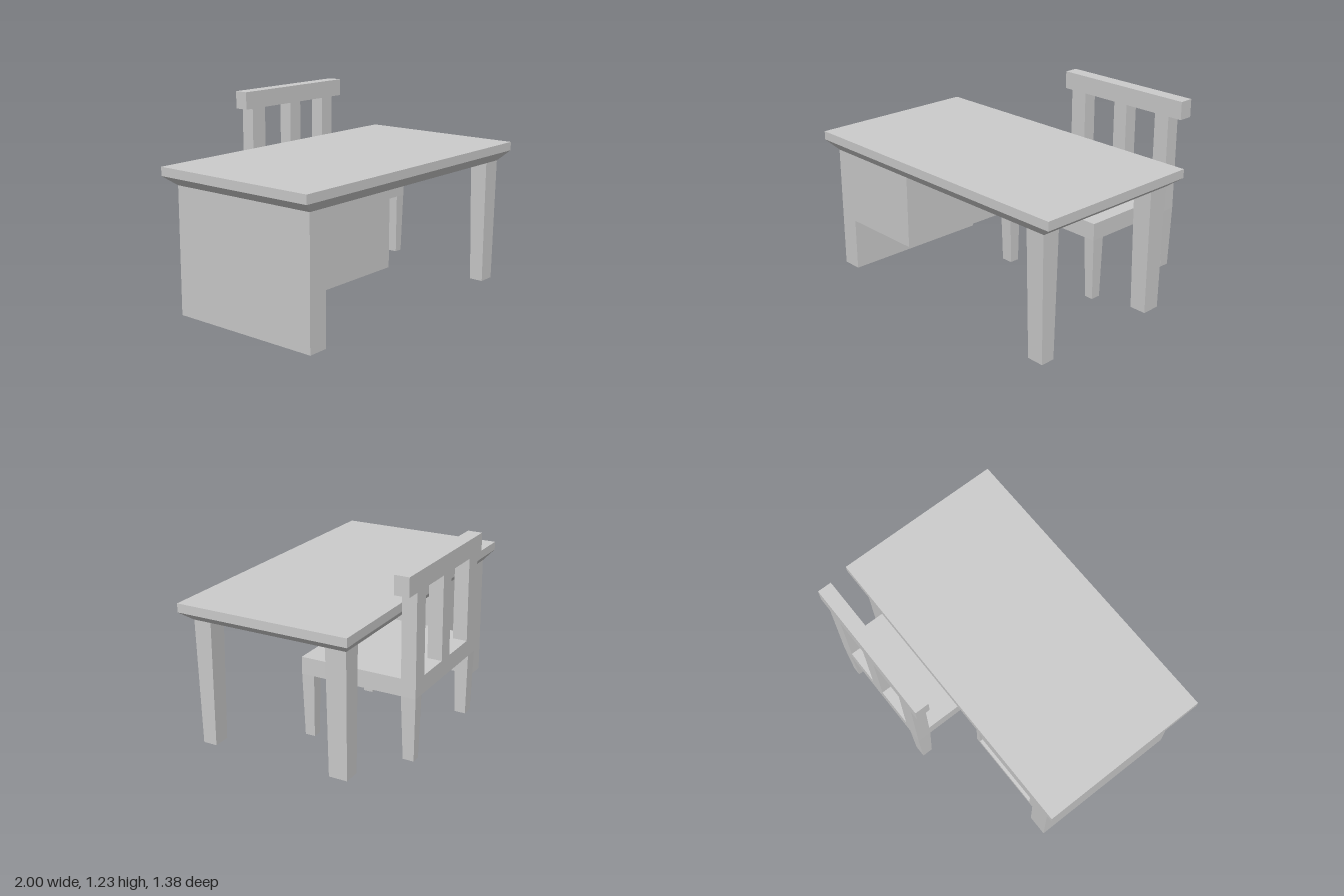
import * as THREE from 'three';

const material = new THREE.MeshStandardMaterial({ color: 0xcccccc, flatShading: true });

// Six-sided block between two heights; each rectangle is [x0, x1, z0, z1].
function block(name, y0, y1, top, bottom = top) {
  const geometry = new THREE.BoxGeometry(1, 1, 1);
  const p = geometry.attributes.position;
  for (let i = 0; i < p.count; i++) {
    const r = p.getY(i) > 0 ? top : bottom;
    p.setXYZ(i, p.getX(i) > 0 ? r[1] : r[0], p.getY(i) > 0 ? y1 : y0, p.getZ(i) > 0 ? r[3] : r[2]);
  }
  geometry.computeVertexNormals();
  const mesh = new THREE.Mesh(geometry, material);
  mesh.name = name;
  return mesh;
}

function createDesk() {
  const desk = new THREE.Group();
  desk.name = 'desk';

  // Slab with a chamfered underside
  const slab = [-1, 1, -0.42, 0.69];
  desk.add(block('deskTop', 0.85, 0.905, slab));
  desk.add(block('deskTopChamfer', 0.79, 0.85, slab, [-0.92, 0.92, -0.37, 0.64]));

  // Solid side panel and the two tapered legs opposite
  desk.add(block('sidePanel', 0, 0.79, [-0.92, -0.79, -0.37, 0.64]));
  desk.add(block('frontDeskLeg', 0, 0.79, [0.79, 0.917, 0.525, 0.64], [0.798, 0.907, 0.54, 0.63]));
  desk.add(block('backDeskLeg', 0, 0.79, [0.79, 0.917, -0.367, -0.235], [0.798, 0.907, -0.36, -0.242]));

  // Hanging cabinet with a drawer front set back inside a frame
  desk.add(block('cabinet', 0.335, 0.79, [-0.79, -0.233, -0.35, 0.64]));
  const frame = new THREE.Shape();
  frame.moveTo(-0.79, 0.335).lineTo(-0.233, 0.335).lineTo(-0.233, 0.79).lineTo(-0.79, 0.79).closePath();
  const opening = new THREE.Path();
  opening.moveTo(-0.76, 0.365).lineTo(-0.76, 0.76).lineTo(-0.263, 0.76).lineTo(-0.263, 0.365).closePath();
  frame.holes.push(opening);
  const drawerFrame = new THREE.Mesh(
    new THREE.ExtrudeGeometry(frame, { depth: 0.02, bevelEnabled: false }), material);
  drawerFrame.position.z = -0.37;
  drawerFrame.name = 'drawerFrame';
  desk.add(drawerFrame);
  return desk;
}

function createChair() {
  const chair = new THREE.Group();
  chair.name = 'chair';
  chair.add(block('seat', 0.505, 0.61, [-0.06, 0.728, -0.69, 0.035]));

  // Back posts and top rail
  for (const [x0, x1] of [[-0.06, 0.055], [0.3, 0.4], [0.625, 0.728]]) {
    chair.add(block('backPost', 0.61, 1.12, [x0, x1, -0.69, -0.6]));
  }
  chair.add(block('topRail', 1.118, 1.23, [-0.118, 0.82, -0.69, -0.6]));

  // Tapered legs: [top, bottom] spans across x and along z
  const xSpans = [[[-0.06, 0.028], [-0.053, 0.021]], [[0.655, 0.728], [0.665, 0.72]]];
  const zSpans = [[[-0.045, 0.035], [-0.037, 0.025]], [[-0.69, -0.6], [-0.68, -0.612]]];
  for (const [xt, xb] of xSpans) {
    for (const [zt, zb] of zSpans) {
      chair.add(block('chairLeg', 0.12, 0.505, [...xt, ...zt], [...xb, ...zb]));
    }
  }
  return chair;
}

export function createModel() {
  const model = new THREE.Group();
  model.name = 'deskAndChair';
  model.add(createDesk(), createChair());
  return model;
}
